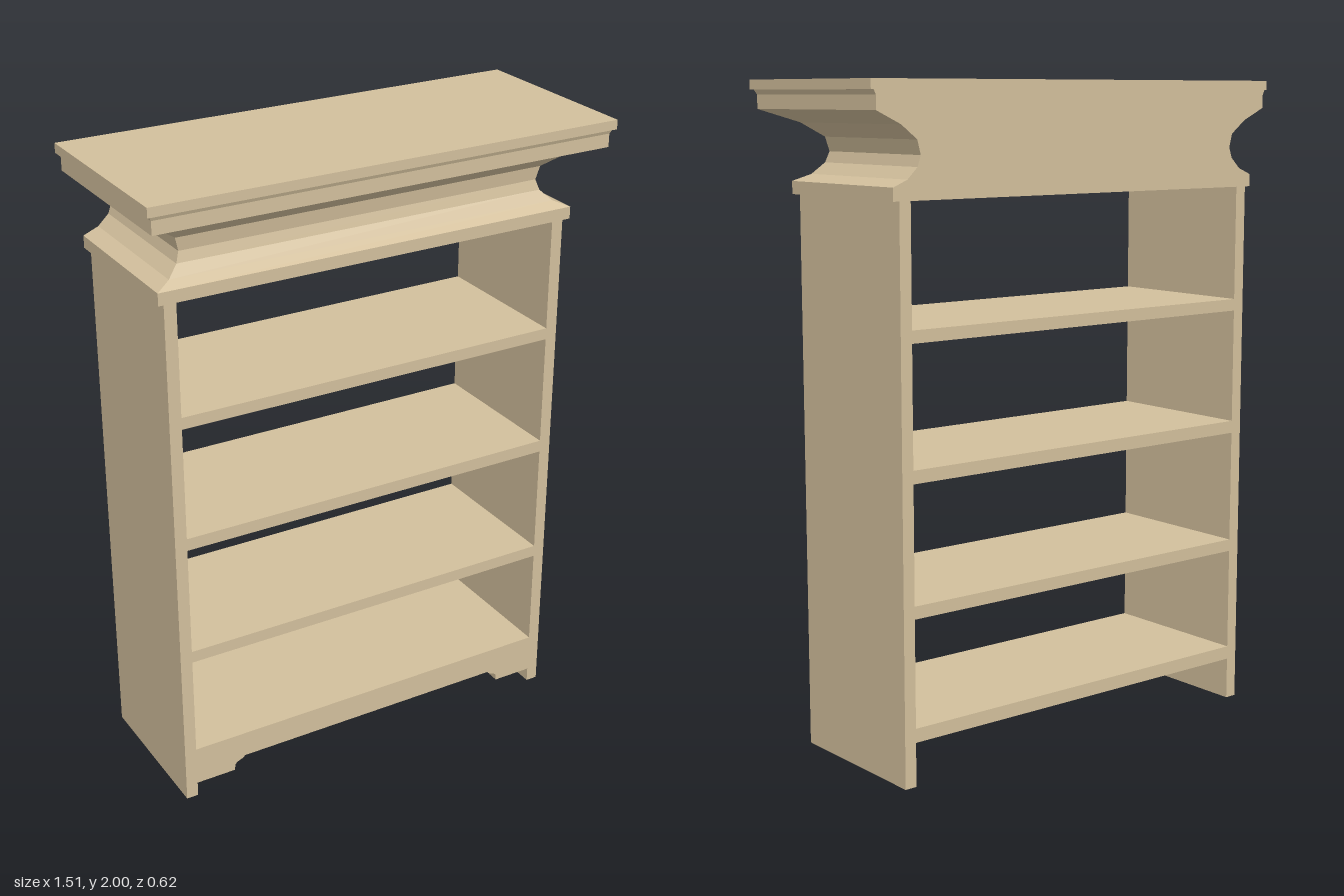
import * as THREE from 'three';

const BACK = -0.31, FRONT = 0.19;

// Crown moulding: stacked rectangles [half width, front z, y] sharing one flat back
function crownGeometry(profile) {
  const pos = [], idx = [];
  for (const [w, z, y] of profile) pos.push(-w, y, BACK, -w, y, z, w, y, z, w, y, BACK);
  const last = (profile.length - 1) * 4;
  for (let i = 0; i < last; i += 4) {
    for (let j = 0; j < 4; j++) {
      const a = i + j, b = i + (j + 1) % 4;
      idx.push(a, b, b + 4, a, b + 4, a + 4);
    }
  }
  idx.push(0, 2, 1, 0, 3, 2);
  idx.push(last, last + 1, last + 2, last, last + 2, last + 3);
  const g = new THREE.BufferGeometry();
  g.setAttribute('position', new THREE.Float32BufferAttribute(pos, 3));
  g.setIndex(idx);
  const flat = g.toNonIndexed();
  flat.computeVertexNormals();
  return flat;
}

export function createModel() {
  const group = new THREE.Group();
  group.name = 'bookcase';
  const wood = new THREE.MeshStandardMaterial({ color: 0xd2bf9c, flatShading: true });
  wood.name = 'pale wood';

  const add = (name, geometry) => {
    const mesh = new THREE.Mesh(geometry, wood);
    mesh.name = name;
    group.add(mesh);
    return mesh;
  };
  const board = (name, x0, x1, y0, y1) => add(name, new THREE.BoxGeometry(x1 - x0, y1 - y0, FRONT - BACK))
    .position.set((x0 + x1) / 2, (y0 + y1) / 2, (FRONT + BACK) / 2);

  // Side panels
  board('leftSide', 0.628, 0.666, 0, 1.672);
  board('rightSide', -0.666, -0.628, 0, 1.672);

  // Shelves
  [[0.132, 0.174], [0.496, 0.534], [0.886, 0.925], [1.281, 1.318]].forEach(([y0, y1], i) =>
    board('shelf' + (i + 1), -0.628, 0.628, y0, y1));

  // Apron under the lowest shelf, with a shaped cut-out
  const half = [[0.628, 0.132], [0.628, 0.047], [0.497, 0.047], [0.495, 0.068],
    [0.485, 0.076], [0.468, 0.082], [0.46, 0.09]];
  const outline = [...half, ...half.map(([x, y]) => [-x, y]).reverse()];
  const shape = new THREE.Shape(outline.map(([x, y]) => new THREE.Vector2(x, y)));
  const depth = 0.038;
  add('apron', new THREE.ExtrudeGeometry(shape, { depth, bevelEnabled: false }))
    .position.z = FRONT - depth;

  // Crown: base fillet, cove, band and top slab
  add('crown', crownGeometry([
    [0.686, 0.199, 1.672], [0.686, 0.199, 1.71],
    [0.638, 0.17, 1.73], [0.604, 0.149, 1.763], [0.593, 0.141, 1.795],
    [0.604, 0.147, 1.837], [0.657, 0.195, 1.878], [0.738, 0.297, 1.916],
    [0.738, 0.297, 1.957], [0.745, 0.303, 1.971],
    [0.754, 0.311, 1.971], [0.754, 0.311, 2],
  ]));
  return group;
}
